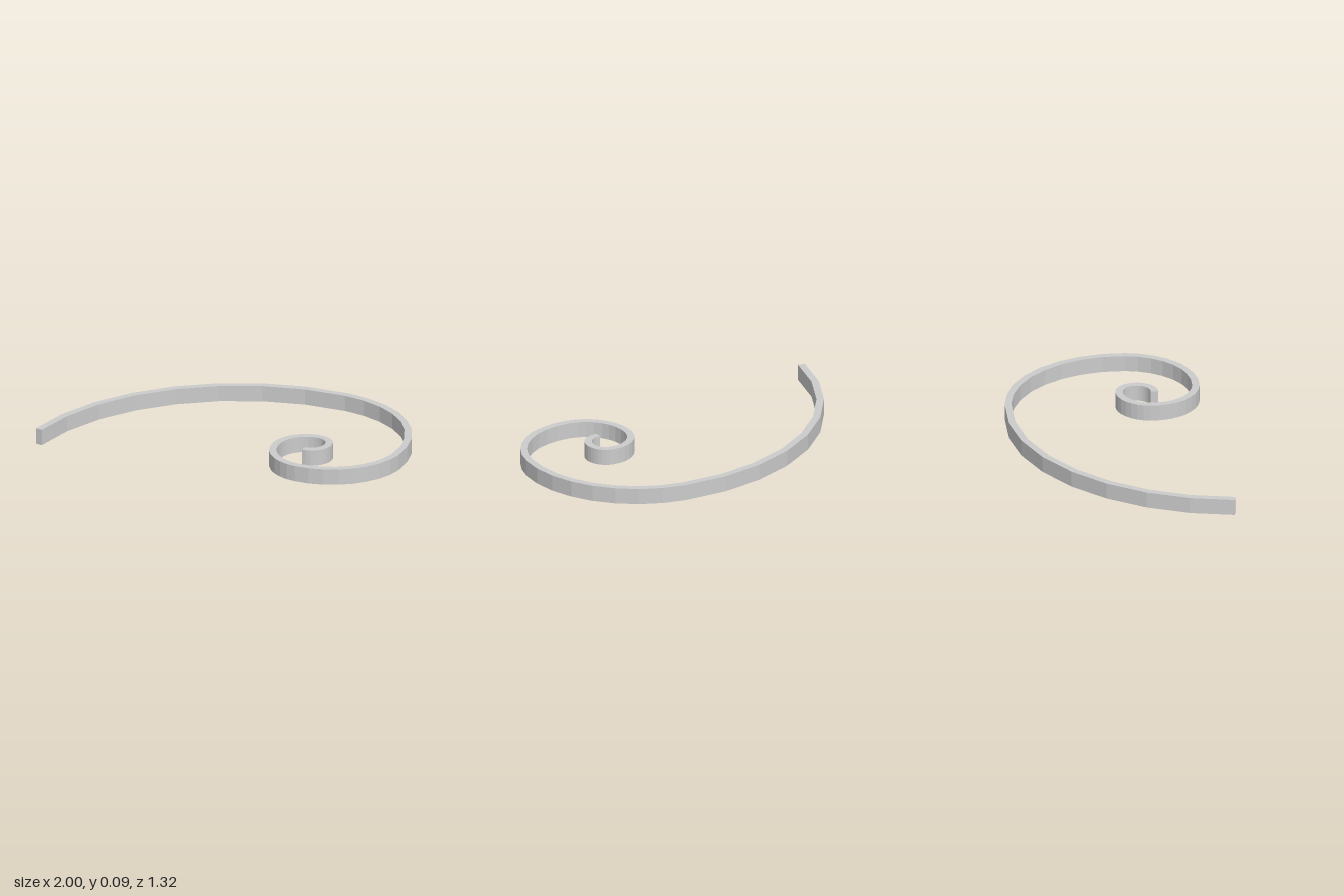
import * as THREE from 'three';

const HEIGHT = 0.093, HALF_WIDTH = 0.021, STEPS = 8;

// Quarter-turn points of the spiral as [x, z], from the outer tip inwards
const TURNS = [
  [-0.979, 0.658], [0.305, -0.641], [0.978, 0.02], [0.563, 0.427],
  [0.304, 0.168], [0.479, -0.011], [0.576, 0.09], [0.479, 0.189],
];

// Centre line: one faceted quarter arc between each pair of turn points
function spiralPath() {
  const points = [];
  for (let i = 0; i < TURNS.length - 1; i++) {
    const [x0, z0] = TURNS[i], [x1, z1] = TURNS[i + 1];
    for (let s = i ? 1 : 0; s <= STEPS; s++) {
      const a = (s / STEPS) * Math.PI / 2;
      const early = Math.sin(a), late = 1 - Math.cos(a);
      // arcs alternate between leaving along z and leaving along x
      const [fx, fz] = i % 2 ? [early, late] : [late, early];
      points.push(new THREE.Vector2(x0 + (x1 - x0) * fx, -(z0 + (z1 - z0) * fz)));
    }
  }
  return points;
}

// Outline of a constant-width strip with mitred joints
function stripShape(path) {
  const left = [], right = [];
  path.forEach((p, i) => {
    const before = path[Math.max(i - 1, 0)], after = path[Math.min(i + 1, path.length - 1)];
    const dirIn = (i ? p.clone().sub(before) : after.clone().sub(p)).normalize();
    const dirOut = (i < path.length - 1 ? after.clone().sub(p) : dirIn.clone()).normalize();
    const dir = dirIn.clone().add(dirOut).normalize();
    const offset = new THREE.Vector2(-dir.y, dir.x).multiplyScalar(HALF_WIDTH / dir.dot(dirIn));
    left.push(p.clone().add(offset));
    right.unshift(p.clone().sub(offset));
  });
  return new THREE.Shape([...left, ...right]);
}

export function createModel() {
  const group = new THREE.Group();
  group.name = 'spiral';
  // Upright strip lying along the spiral
  const geometry = new THREE.ExtrudeGeometry(stripShape(spiralPath()), { depth: HEIGHT, bevelEnabled: false });
  geometry.rotateX(-Math.PI / 2);
  const strip = new THREE.Mesh(geometry, new THREE.MeshStandardMaterial({ color: 0xcccccc, flatShading: true }));
  strip.name = 'spiralStrip';
  group.add(strip);
  return group;
}
